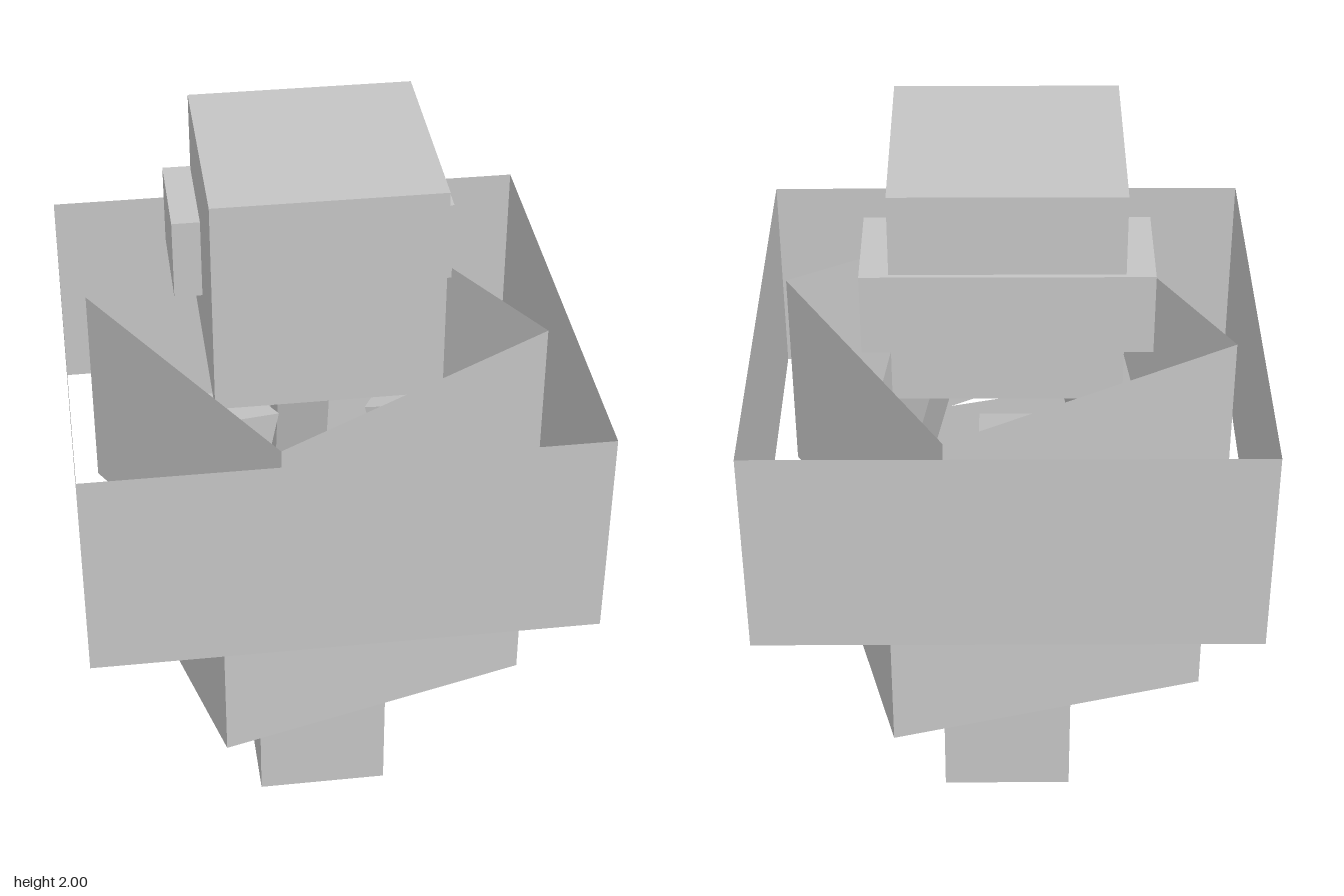
import * as THREE from 'three';

export function createModel() {
  const model = new THREE.Group();
  const grey = new THREE.MeshStandardMaterial({ color: 0xc4c4c4, side: THREE.DoubleSide });
  grey.name = 'plain grey';

  const add = (name, geometry, parent = model) => {
    const mesh = new THREE.Mesh(geometry, grey);
    mesh.name = name;
    parent.add(mesh);
    return mesh;
  };

  // Four thin walls, open at top and bottom; turn is in degrees about y
  const ring = (name, radius, y0, y1, turn) => {
    const g = new THREE.CylinderGeometry(radius, radius, y1 - y0, 4, 1, true).toNonIndexed();
    g.computeVertexNormals();
    const mesh = add(name, g);
    mesh.position.y = (y0 + y1) / 2;
    mesh.rotation.y = THREE.MathUtils.degToRad(turn);
  };
  ring('baseTube', 0.252, 0, 0.5, 45);
  ring('lowerRing', 0.602, 0.5, 0.93, -30);
  ring('innerRing', 0.6, 0.93, 1.502, -15);
  ring('outerRing', 0.909, 0.93, 1.502, 45);

  // Head block with a bar set into its back
  add('head', new THREE.BoxGeometry(0.571, 0.571, 0.571)).position.y = 1.7145;
  add('headBar', new THREE.BoxGeometry(0.714, 0.214, 0.286)).position.set(0, 1.682, -0.155);

  // Three leaning struts, spread evenly inside the rings
  [60, 180, 300].forEach((angle, i) => {
    const arm = new THREE.Group();
    arm.name = `strutArm${i + 1}`;
    arm.rotation.y = THREE.MathUtils.degToRad(angle);
    const strut = add('strut', new THREE.BoxGeometry(0.143, 0.571, 0.143), arm);
    strut.position.set(0, 1.046, 0.315);
    strut.rotation.x = -0.27;
    model.add(arm);
  });

  return model;
}
